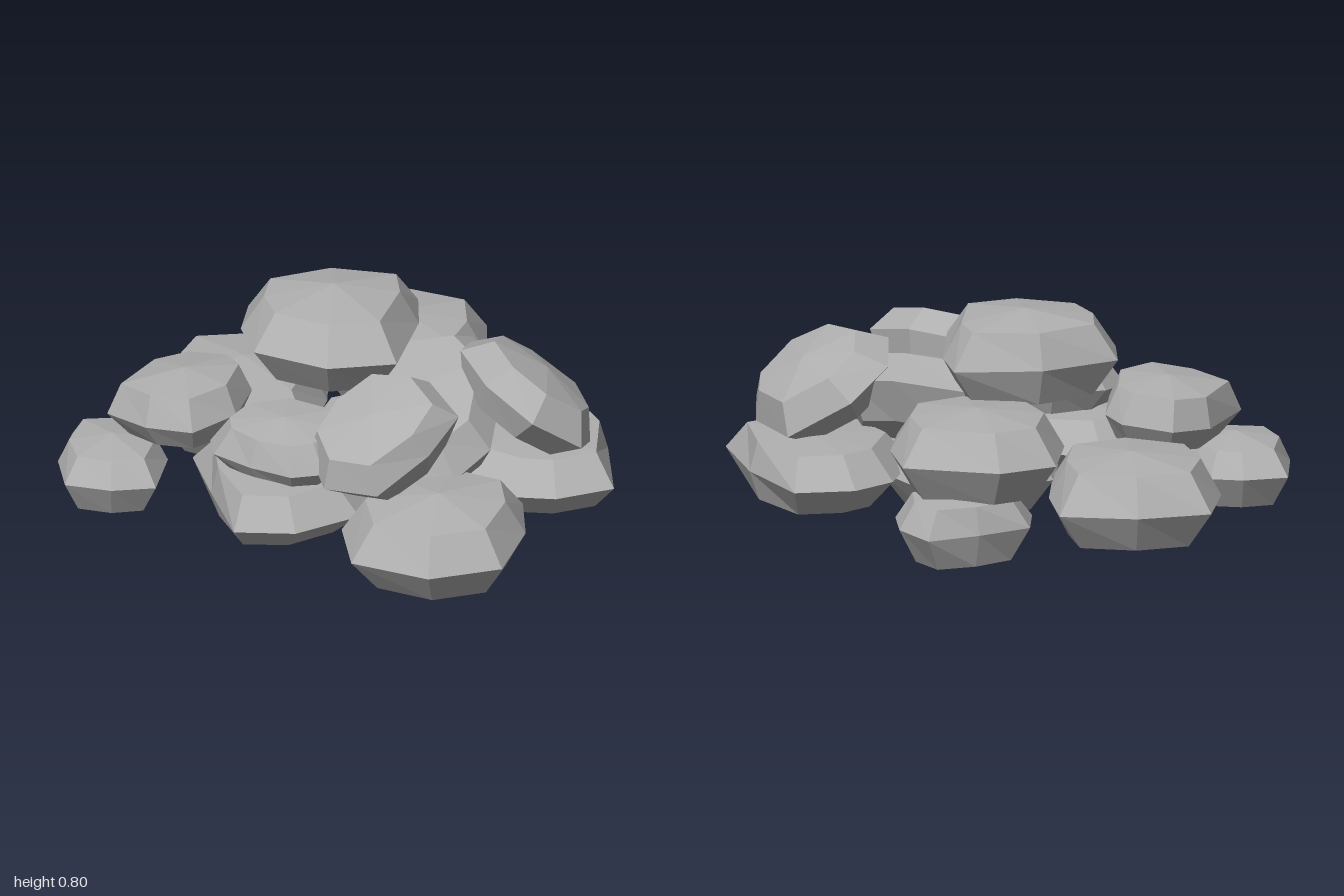
import * as THREE from 'three';

const stoneGrey = new THREE.MeshStandardMaterial({ color: 0xafafaf, flatShading: true });
stoneGrey.name = 'stoneGrey';

// One faceted boulder: flat base, widest ring, shoulder ring and a shallow crown.
// outline: widest ring seen from above [x, z]; levels: [base, widest, shoulder, crown] heights.
function stone(name, outline, levels, rx = 0, rz = 0, topScale = 0.75, baseScale = 0.73) {
  const n = outline.length;
  const xs = outline.map(p => p[0]), zs = outline.map(p => p[1]);
  const cx = (Math.min(...xs) + Math.max(...xs)) / 2;
  const cz = (Math.min(...zs) + Math.max(...zs)) / 2;
  const [base, mid, top, crown] = levels;
  // local outline, lengthened so that a tilted stone keeps its plan size
  const local = outline
    .map(([x, z]) => [(x - cx) / Math.cos(rz), (z - cz) / Math.cos(rx)])
    .sort((a, b) => Math.atan2(a[1], a[0]) - Math.atan2(b[1], b[0]));
  const mean = local.reduce((sum, p) => sum + Math.hypot(...p), 0) / n;
  // the upper and lower rings are rounder than the widest one
  const ring = (scale, y, round) => local.map(([x, z]) => {
    const s = scale * (1 - round + round * mean / Math.hypot(x, z));
    return [x * s, y - mid, z * s];
  });
  const rings = [ring(baseScale, base, 0.25), ring(1, mid, 0), ring(topScale, top, 0.25)];
  const apex = [0, crown - mid, 0], foot = [0, base - mid, 0];
  const pos = [];
  const tri = (a, b, c) => pos.push(...a, ...b, ...c);
  for (let i = 0; i < n; i++) {
    const j = (i + 1) % n;
    tri(rings[0][i], rings[0][j], foot);
    for (let k = 0; k < 2; k++) {
      tri(rings[k][i], rings[k + 1][i], rings[k + 1][j]);
      tri(rings[k][i], rings[k + 1][j], rings[k][j]);
    }
    tri(rings[2][i], apex, rings[2][j]);
  }
  const geo = new THREE.BufferGeometry();
  geo.setAttribute('position', new THREE.Float32BufferAttribute(pos, 3));
  geo.computeVertexNormals();
  const mesh = new THREE.Mesh(geo, stoneGrey);
  mesh.name = name;
  mesh.position.set(cx, mid, cz);
  mesh.rotation.set(rx, 0, rz);
  return mesh;
}

export function createModel() {
  const pile = new THREE.Group();
  pile.name = 'rockPile';
  pile.add(
    // ground layer
    stone('frontBaseStone', [[-0.47, 0.39], [-0.26, 0.62], [-0.03, 0.86], [0.17, 0.76], [0.3, 0.52],
      [0.22, 0.27], [-0.05, 0.17], [-0.33, 0.22]], [0.1, 0.19, 0.3, 0.32]),
    stone('frontLeftBaseStone', [[0.42, 0.79], [0.73, 0.77], [0.93, 0.58], [0.87, 0.3], [0.75, 0.11],
      [0.46, 0.12], [0.27, 0.32], [0.26, 0.58]], [0.025, 0.16, 0.29, 0.33], 0.05, 0),
    stone('backLeftBaseStone', [[1, -0.12], [0.81, -0.41], [0.56, -0.64], [0.36, -0.54], [0.27, -0.38],
      [0.3, -0.08], [0.5, 0.1], [0.72, 0.12], [0.86, 0.06]], [0.09, 0.2, 0.31, 0.33]),
    stone('backBaseStone', [[-0.03, -0.865], [0.12, -0.75], [0.19, -0.59], [0.08, -0.45], [-0.1, -0.33],
      [-0.27, -0.4], [-0.32, -0.57], [-0.18, -0.73]], [0.005, 0.13, 0.23, 0.25]),
    stone('backRightBaseStone', [[-0.93, -0.32], [-0.7, -0.47], [-0.42, -0.53], [-0.3, -0.3], [-0.22, -0.02],
      [-0.42, 0.18], [-0.73, 0.16], [-0.88, -0.06]], [0.03, 0.17, 0.31, 0.34]),
    stone('smallSideStone', [[-1, 0.34], [-0.86, 0.25], [-0.74, 0.23], [-0.59, 0.36], [-0.51, 0.59],
      [-0.64, 0.69], [-0.81, 0.73], [-0.93, 0.57]], [0.02, 0.14, 0.23, 0.26]),
    stone('innerBaseStone', [[-0.25, -0.1], [-0.1, -0.3], [0.18, -0.36], [0.38, -0.2], [0.4, 0.02],
      [0.25, 0.18], [0, 0.2], [-0.2, 0.1]], [0.06, 0.18, 0.3, 0.33]),
    // middle layer
    stone('backMiddleStone', [[-0.42, -0.57], [-0.26, -0.73], [0.1, -0.77], [0.22, -0.56], [0.27, -0.33],
      [0.1, -0.14], [-0.2, -0.12], [-0.36, -0.3]], [0.23, 0.37, 0.5, 0.53]),
    stone('sideMiddleStone', [[-0.77, 0.49], [-0.75, 0.2], [-0.65, 0.07], [-0.46, 0.05], [-0.37, 0.13],
      [-0.31, 0.35], [-0.38, 0.55], [-0.57, 0.56]], [0.27, 0.36, 0.47, 0.5], 0, 0.1, 0.82, 0.77),
    stone('frontMiddleStone', [[-0.3, 0.56], [-0.28, 0.4], [-0.12, 0.28], [0.12, 0.28], [0.24, 0.44],
      [0.2, 0.6], [0.1, 0.67], [-0.07, 0.67], [-0.24, 0.64]], [0.29, 0.38, 0.48, 0.5], 0.1, 0),
    stone('centreMiddleStone', [[0.05, -0.2], [0.3, -0.32], [0.5, -0.2], [0.62, 0.12], [0.56, 0.28],
      [0.3, 0.41], [0.08, 0.35], [-0.02, 0.05]], [0.27, 0.4, 0.52, 0.56], 0.42, 0),
    // leaning stones
    stone('frontLeaningStone', [[0.09, 0.53], [0.11, 0.36], [0.2, 0.2], [0.4, 0.18], [0.59, 0.29],
      [0.56, 0.46], [0.45, 0.65], [0.23, 0.66]], [0.35, 0.48, 0.58, 0.61], 0.5, 0.08, 0.78, 0.7),
    stone('sideLeaningStone', [[0.34, -0.17], [0.44, -0.32], [0.67, -0.4], [0.86, -0.24], [0.91, -0.1],
      [0.8, 0.09], [0.6, 0.12], [0.4, 0]], [0.38, 0.48, 0.58, 0.61], -0.45, -0.45, 0.72, 0.72),
    // top
    stone('topStone', [[-0.47, -0.02], [-0.26, -0.25], [0.04, -0.37], [0.14, -0.2], [0.24, 0.14],
      [0.04, 0.3], [-0.26, 0.31], [-0.4, 0.16]], [0.49, 0.63, 0.76, 0.8]),
  );
  return pile;
}
